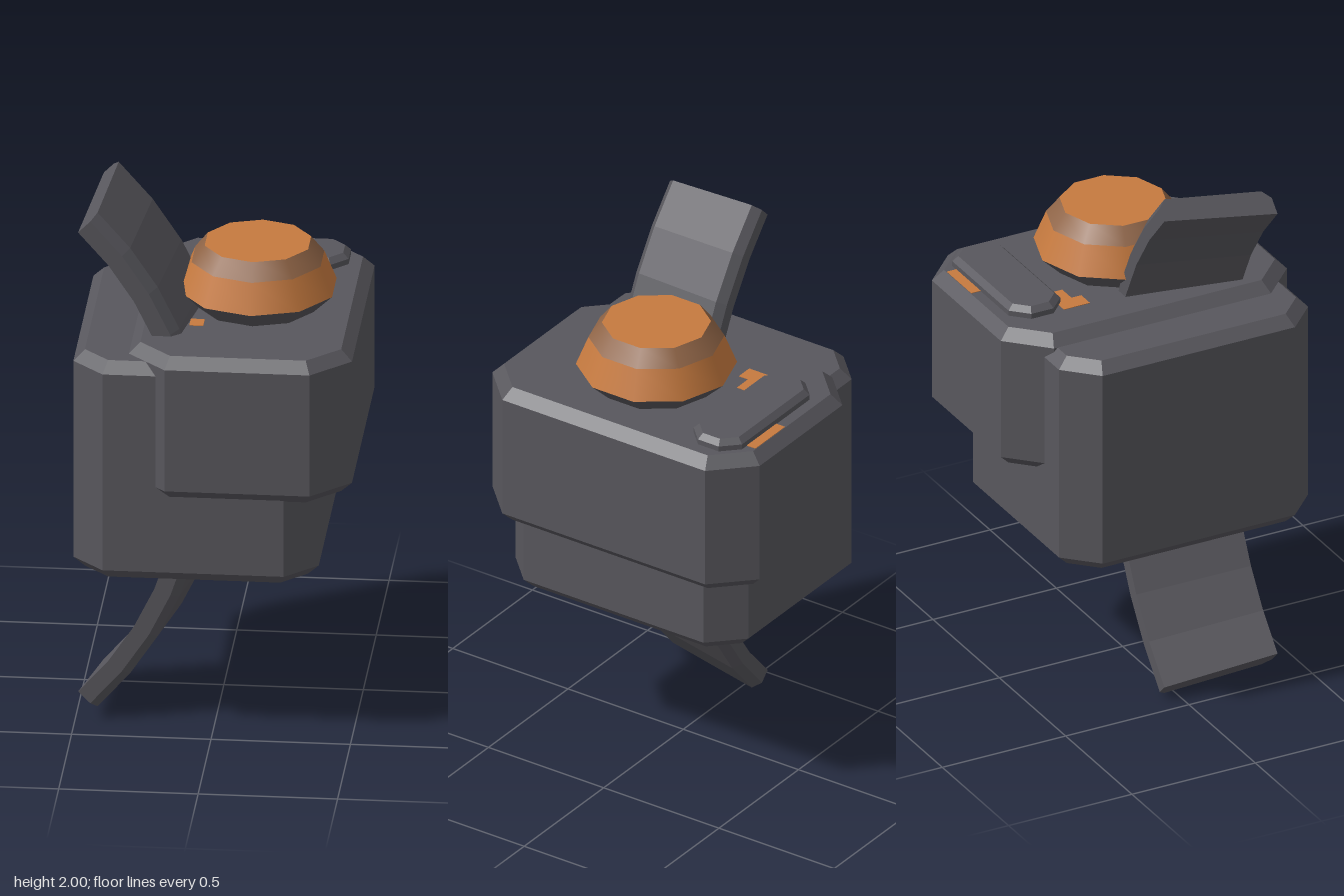
import * as THREE from 'three';

const gray = new THREE.MeshStandardMaterial({ color: 0x58575d });
gray.name = 'dark gray';
const orange = new THREE.MeshStandardMaterial({ color: 0xc67a3f });
orange.name = 'orange';
const brown = new THREE.MeshStandardMaterial({ color: 0x8f6446 });
brown.name = 'dull brown';

// Closed faceted solid skinned over a series of convex rings
function loft(rings) {
  const pos = [];
  const tri = (a, b, c) => pos.push(...a, ...b, ...c);
  const n = rings[0].length;
  for (let i = 0; i < rings.length - 1; i++) {
    for (let j = 0; j < n; j++) {
      const k = (j + 1) % n;
      const [a, b, c, d] = [rings[i][j], rings[i][k], rings[i + 1][k], rings[i + 1][j]];
      tri(a, b, c);
      tri(a, c, d);
    }
  }
  const first = rings[0], last = rings[rings.length - 1];
  for (let j = 1; j < n - 1; j++) {
    tri(first[0], first[j + 1], first[j]);
    tri(last[0], last[j], last[j + 1]);
  }
  const g = new THREE.BufferGeometry();
  g.setAttribute('position', new THREE.Float32BufferAttribute(pos, 3));
  g.computeVertexNormals();
  return g;
}

// Box with cut vertical corners and bevelled top and bottom edges
function cutBox(x0, x1, y0, y1, z0, z1, cut, bevel) {
  const ring = (y, inset) => {
    const a = x0 + inset, b = x1 - inset, c = z0 + inset, d = z1 - inset;
    const k = cut - inset * (2 - Math.SQRT2);
    return [
      [a + k, y, d], [b - k, y, d], [b, y, d - k], [b, y, c + k],
      [b - k, y, c], [a + k, y, c], [a, y, c + k], [a, y, d - k],
    ];
  };
  return loft([ring(y0, bevel), ring(y0 + bevel, 0), ring(y1 - bevel, 0), ring(y1, bevel)]);
}

// Curved blade: a tapered section swept along a quarter circle
function bladeGeometry() {
  const section = [
    [0.365, 1.26], [0.365, 1.322], [0.335, 1.355],
    [-0.035, 1.414], [-0.065, 1.385], [-0.065, 1.335],
  ];
  const rings = [];
  for (let i = 0; i <= 12; i++) {
    const t = (-45 + 7.5 * i) * Math.PI / 180;
    rings.push(section.map(([z, r]) => [-1.38 + r * Math.cos(t), 1 + r * Math.sin(t), z]));
  }
  return loft(rings);
}

export function createModel() {
  const model = new THREE.Group();
  model.name = 'device';
  const add = (name, geometry, material, parent = model) => {
    const mesh = new THREE.Mesh(geometry, material);
    mesh.name = name;
    parent.add(mesh);
    return mesh;
  };

  // Stacked body blocks and cover plates
  add('lowerBody', cutBox(-0.5, 0.38, 0.62, 1.46, -0.465, 0.545, 0.115, 0.04), gray);
  add('upperBody', cutBox(-0.3, 0.5, 0.95, 1.5, -0.58, 0.58, 0.14, 0.04), gray);
  add('bottomPlate', cutBox(-0.22, 0.17, 0.53, 0.7, -0.33, 0.32, 0.065, 0.035), gray);
  add('topPlate', cutBox(-0.13, 0.415, 1.48, 1.54, -0.5, -0.29, 0.06, 0.02), gray);
  add('curvedBlade', bladeGeometry(), gray);

  // Ten-sided button, one band per colour
  const button = new THREE.Group();
  button.name = 'button';
  button.position.set(0.125, 0, 0.03);
  model.add(button);
  const band = (name, r0, y0, r1, y1, material) =>
    add(name, new THREE.LatheGeometry([new THREE.Vector2(r0, y0), new THREE.Vector2(r1, y1)], 10), material, button);
  band('buttonBase', 0.205, 1.49, 0.288, 1.57, gray);
  band('buttonSide', 0.288, 1.57, 0.243, 1.68, orange);
  band('buttonShoulder', 0.243, 1.68, 0.195, 1.74, brown);
  const cap = new THREE.CircleGeometry(0.195, 10);
  cap.rotateZ(Math.PI / 2);
  cap.rotateX(-Math.PI / 2);
  add('buttonCap', cap, orange, button).position.y = 1.74;

  // Thin worn patches on the upper deck: x0, x1, z0, z1
  const patches = [
    [0.14, 0.325, -0.538, -0.49],
    [-0.125, -0.06, -0.305, -0.2],
    [-0.06, 0.01, -0.29, -0.24],
    [-0.1, -0.05, 0.2, 0.26],
  ];
  for (const [x0, x1, z0, z1] of patches) {
    const patch = add('deckPatch', new THREE.BoxGeometry(x1 - x0, 0.004, z1 - z0), orange);
    patch.position.set((x0 + x1) / 2, 1.5, (z0 + z1) / 2);
  }

  return model;
}
